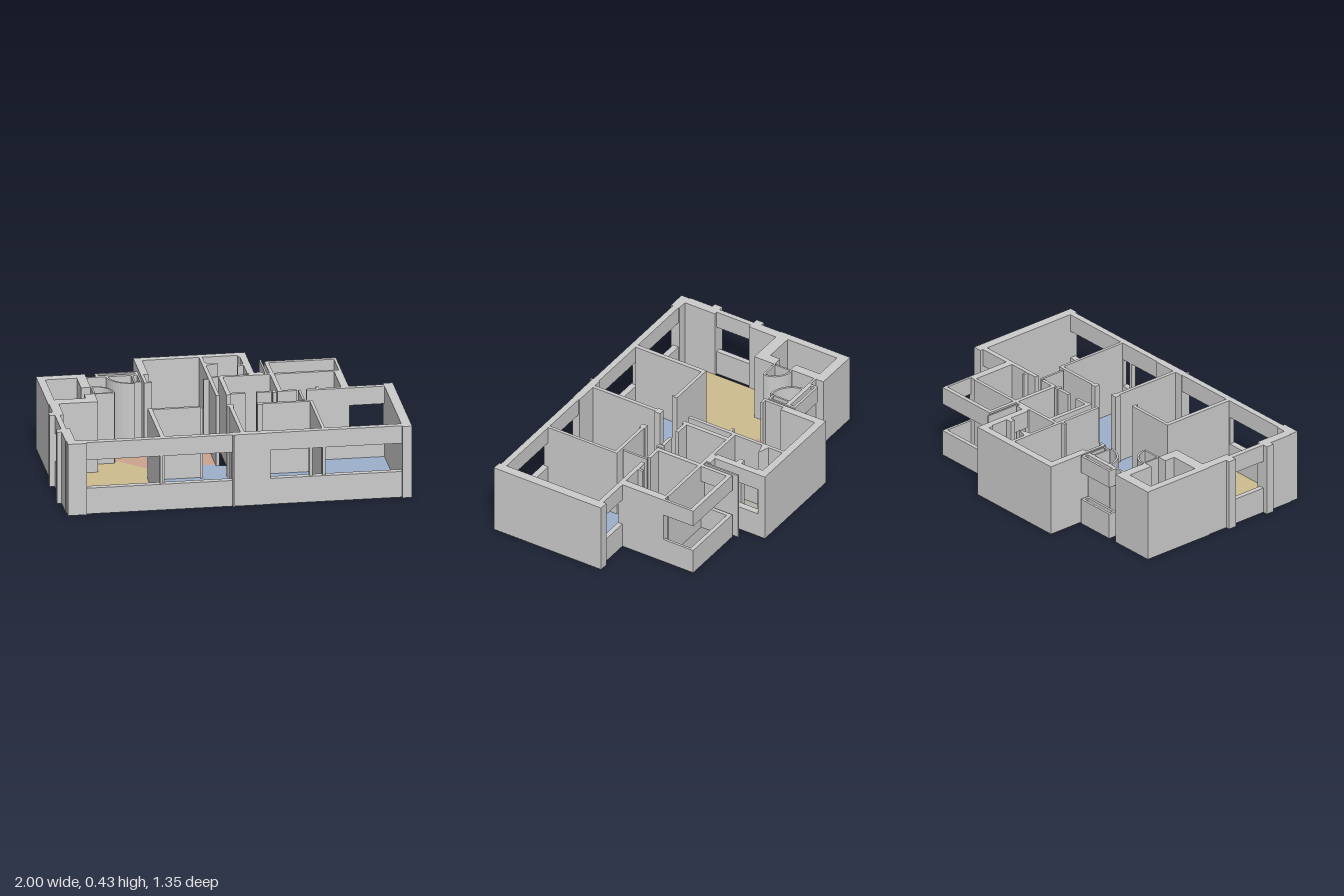
import * as THREE from 'three';

const H = 0.43, SILL = 0.155, HEAD = 0.325;

export function createModel() {
  const model = new THREE.Group();
  const grey = new THREE.MeshStandardMaterial({ color: 0xcccccc });

  // Vertical prism from a plan outline of [x, z] points
  function prism(name, points, height, material = grey, y = 0) {
    const shape = new THREE.Shape(points.map(([x, z]) => new THREE.Vector2(x, -z)));
    const geo = new THREE.ExtrudeGeometry(shape, { depth: height, bevelEnabled: false });
    geo.rotateX(-Math.PI / 2);
    const mesh = new THREE.Mesh(geo, material);
    mesh.name = name;
    mesh.position.y = y;
    model.add(mesh);
  }

  function box(name, [x0, x1, z0, z1], y0 = 0, y1 = H) {
    const mesh = new THREE.Mesh(new THREE.BoxGeometry(x1 - x0, y1 - y0, z1 - z0), grey);
    mesh.position.set((x0 + x1) / 2, (y0 + y1) / 2, (z0 + z1) / 2);
    mesh.name = name;
    model.add(mesh);
  }

  // A window is a parapet below and a lintel above
  function windowWall(name, r) {
    box(name + 'Parapet', r, 0, SILL);
    box(name + 'Lintel', r, HEAD, H);
  }

  function arc(cx, cz, radius, a0, a1, n = 12) {
    return Array.from({ length: n + 1 }, (_, i) => {
      const a = a0 + (a1 - a0) * i / n;
      return [cx + radius * Math.cos(a), cz + radius * Math.sin(a)];
    });
  }
  const rect = (x0, x1, z0, z1) => [[x0, z0], [x1, z0], [x1, z1], [x0, z1]];

  // Floors
  const floors = [
    ['livingFloor', 0xcdbd8f, [[-0.695, -0.13], [-0.58, -0.13], [-0.57, -0.17], [-0.37, 0.03], [-0.37, 0.155],
      [-0.435, 0.155], [-0.435, 0.61], [-0.92, 0.61], [-0.92, 0], [-0.695, 0]]],
    ['hallFloor', 0xcba48f, [[-0.345, -0.63], [-0.02, -0.63], [-0.02, -0.02], [-0.12, -0.02], [-0.19, 0.03],
      [-0.37, 0.03], [-0.57, -0.17], [-0.6, -0.23], [-0.695, -0.25], [-0.695, -0.4], [-0.615, -0.4],
      [-0.57, -0.31], [-0.45, -0.27], [-0.345, -0.27]]],
    ['corridorFloor', 0x9db0cc, [[-0.37, 0.03], [-0.19, 0.03], [-0.12, -0.02], [-0.02, -0.02], [0, 0],
      [0.505, 0], [0.505, 0.155], [-0.37, 0.155]]],
    ['bedroomFloor', 0x9db0cc, rect(-0.41, 0.025, 0.155, 0.61)],
    ['bedroomFloor', 0x9db0cc, rect(0.025, 0.49, 0.155, 0.61)],
    ['bedroomFloor', 0x9db0cc, rect(0.505, 0.945, -0.005, 0.61)],
    ['bathFloor', 0x94c0c0, rect(0.065, 0.335, -0.295, -0.03)],
    ['bathFloor', 0x94c0c0, rect(0.36, 0.7, -0.295, -0.03)],
    ['utilityFloor', 0xb3b3aa, rect(0, 0.21, -0.63, -0.315)],
    ['storeFloor', 0xbcb7ae, rect(-0.935, -0.755, -0.4, -0.07)],
    ['balconyFloor', 0xa2a2a2, rect(0.355, 0.73, -0.485, -0.315)],
    ['cornerFloor', 0xbcb7ae, [[-0.45, -0.4], ...arc(-0.45, -0.4, 0.13, Math.PI / 2, Math.PI)]],
    ['cornerFloor', 0xbcb7ae, [[-0.69, -0.14], ...arc(-0.69, -0.14, 0.105, -Math.PI / 2, 0)]],
  ];
  for (const [name, color, points] of floors)
    prism(name, points, 0.006, new THREE.MeshStandardMaterial({ color }));

  // Outer walls
  [
    [-0.97, -0.86, 0.61, 0.665], [-0.02, 0.19, 0.61, 0.655], [-0.025, -0.015, 0.61, 0.67], // front piers
    [0.945, 1, -0.055, 0.665], // right side
    [-0.975, -0.92, 0, 0.18], [-0.975, -0.92, 0.41, 0.61], [-1, -0.95, 0.13, 0.18], [-1, -0.95, 0.41, 0.46], // left side
    [-0.98, -0.935, -0.46, 0], [-0.935, -0.7, -0.46, -0.4], [-0.935, -0.695, -0.07, 0], // store room
    [-0.755, -0.7, -0.4, -0.24], [-0.755, -0.695, -0.135, -0.07],
    [-0.39, 0.25, -0.675, -0.63], [-0.39, -0.345, -0.63, -0.4], // back block
    [0.7, 0.745, -0.31, -0.005], // bath side
  ].forEach(r => box('outerWall', r));

  // Windows
  windowWall('frontLeft', [-0.86, -0.02, 0.615, 0.652]);
  windowWall('frontRight', [0.19, 0.945, 0.615, 0.652]);
  windowWall('side', [-0.97, -0.94, 0.18, 0.41]);
  windowWall('rear', [0.745, 0.945, -0.035, -0.005]);
  windowWall('utility', [0.21, 0.25, -0.63, -0.33]);
  windowWall('balconyBack', [0.335, 0.745, -0.51, -0.485]);
  windowWall('balconyLeft', [0.335, 0.357, -0.485, -0.315]);
  windowWall('balconyRight', [0.73, 0.745, -0.485, -0.31]);

  // Hollow rear window bay
  windowWall('bayBack', [-0.645, -0.4, -0.46, -0.445]);
  windowWall('bayFront', [-0.645, -0.4, -0.422, -0.408]);
  windowWall('bayEnd', [-0.645, -0.63, -0.445, -0.422]);
  windowWall('bayEnd', [-0.415, -0.4, -0.445, -0.422]);

  // Inner walls
  [
    [-0.435, -0.41, 0.155, 0.615], [-0.41, -0.13, 0.155, 0.175], [-0.137, -0.125, 0.155, 0.19],
    [0.025, 0.047, 0.19, 0.615], [0.015, 0.055, 0.155, 0.19], [0.2, 0.5, 0.155, 0.175],
    [0.19, 0.22, 0.15, 0.185], [0.49, 0.508, 0.155, 0.615], [0.453, 0.466, -0.02, 0.14],
    [-0.02, 0, -0.63, 0], [0, 0.065, -0.315, -0.295], [0.04, 0.065, -0.295, 0],
    [0.065, 0.7, -0.315, -0.295], [0.335, 0.36, -0.295, -0.03], [0.065, 0.15, -0.03, -0.01],
    [0.215, 0.3, -0.03, -0.01], [0.335, 0.445, -0.03, -0.01], [0.5, 0.7, -0.03, -0.005],
    [0.305, 0.325, -0.035, 0.005], [0.56, 0.575, -0.06, -0.03],
    [0.31, 0.32, -0.54, -0.315], [0.22, 0.3, -0.34, -0.315], [0.2, 0.212, -0.63, -0.6],
    [0.175, 0.21, -0.49, -0.46], [-0.05, -0.02, -0.28, -0.265],
    [-0.39, -0.372, -0.4, -0.265], [-0.372, -0.345, -0.28, -0.265],
    [-0.7, -0.6, -0.41, -0.397], [-0.695, -0.58, -0.142, -0.13], [-0.7, -0.69, -0.25, -0.142],
    [-0.445, -0.435, -0.4, -0.285], [-0.41, -0.4, -0.4, -0.285], [-0.445, -0.4, -0.295, -0.283],
    [-0.61, -0.4, -0.408, -0.397],
  ].forEach(r => box('innerWall', r));
  prism('doorStop', [[0, -0.54], [0.07, -0.515], [0, -0.495]], H);

  // Curved walls
  const curved = (cx, cz, r, a0, a1) =>
    prism('curvedWall', [...arc(cx, cz, r, a0, a1), ...arc(cx, cz, r - 0.012, a1, a0)], H);
  curved(-0.69, -0.14, 0.115, -Math.PI / 2, 0);
  curved(-0.445, -0.41, 0.145, Math.PI / 2, Math.PI);

  // Window mullions, paired behind the piers
  for (const x of [-0.44, 0.415, 0.49])
    box('mullion', [x, x + 0.018, 0.617, 0.645], SILL, HEAD);

  return model;
}
